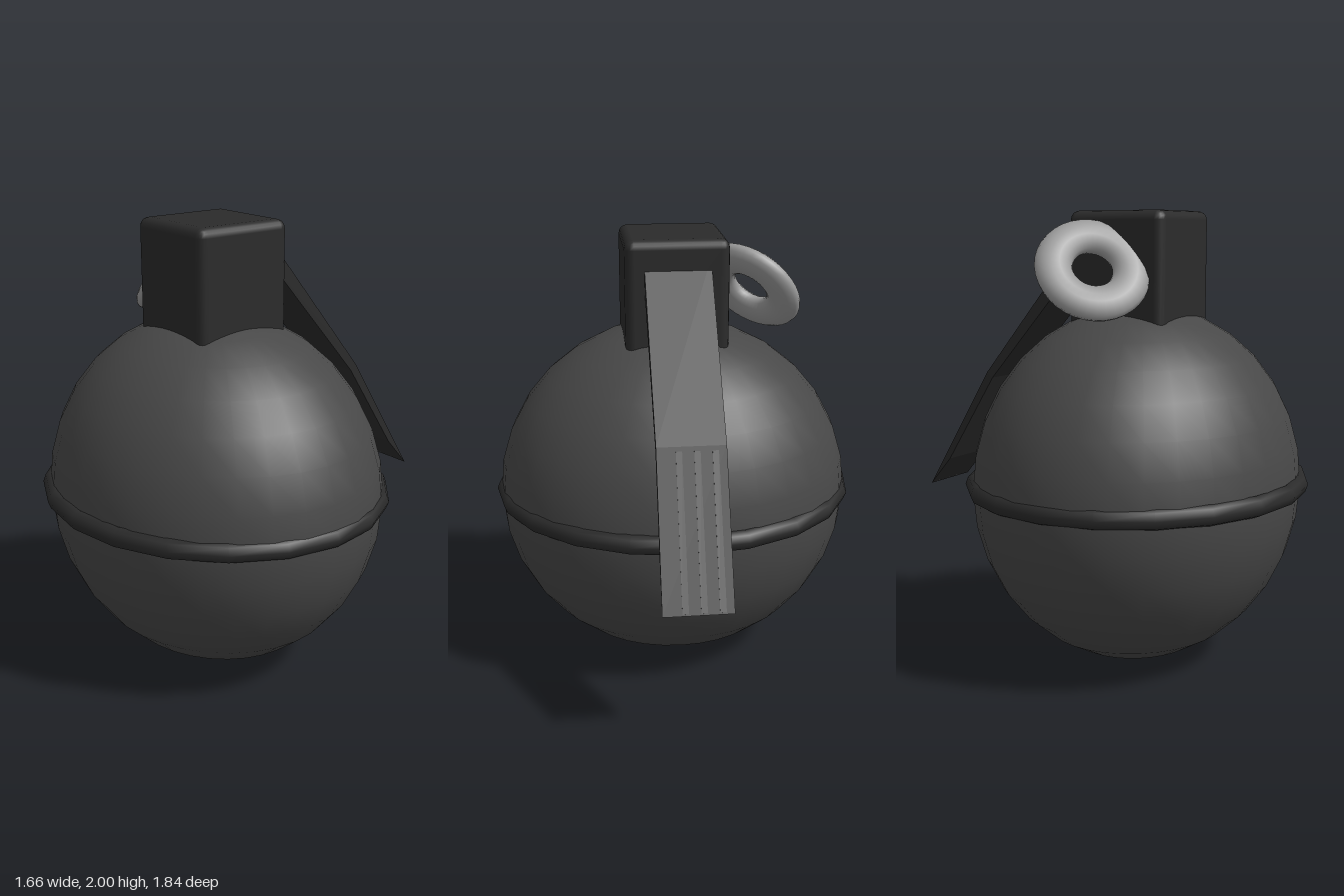
import * as THREE from 'three';
import { RoundedBoxGeometry } from 'three/addons/geometries/RoundedBoxGeometry.js';

const mat = (name, color, side = THREE.FrontSide) =>
  Object.assign(new THREE.MeshStandardMaterial({ color, side }), { name });

export function createModel() {
  const group = new THREE.Group();
  const shellGrey = mat('shell grey', 0x484848);
  const darkGrey = mat('dark grey', 0x2b2b2b);
  const steel = mat('steel', 0x9a9a9a);
  const centreZ = 0.17;

  const add = (name, geometry, material) => {
    const mesh = new THREE.Mesh(geometry, material);
    mesh.name = name;
    group.add(mesh);
    return mesh;
  };

  // Slightly flattened round shell
  const body = add('body', new THREE.SphereGeometry(1, 32, 16), shellGrey);
  body.scale.set(0.81, 0.797, 0.71);
  body.position.set(0, 0.8, centreZ);

  // Band round the middle
  const belt = add('belt', new THREE.TorusGeometry(0.785, 0.045, 8, 20).rotateX(Math.PI / 2), darkGrey);
  belt.scale.z = 0.905;
  belt.position.set(0, 0.81, centreZ);

  // Square cap sunk into the shell
  const cap = add('cap', new RoundedBoxGeometry(0.455, 0.58, 0.46, 2, 0.04), darkGrey);
  cap.position.set(0, 1.71, centreZ);

  // Flattened pull ring, tilted beside the cap
  const ring = add('pullRing', new THREE.TorusGeometry(0.165, 0.08, 14, 36).scale(1, 1, 0.62), steel);
  ring.quaternion.setFromUnitVectors(new THREE.Vector3(0, 0, 1), new THREE.Vector3(-1, 1, 1).normalize());
  ring.position.set(-0.35, 1.755, 0.14);

  // Bent lever: a side profile (distance back, height) extruded across x, with a slight sideways skew
  const strip = (points, x0, x1) => {
    const shape = new THREE.Shape(points.map(([b, y]) => new THREE.Vector2(b, y)));
    const geo = new THREE.ExtrudeGeometry(shape, { depth: x1 - x0, bevelEnabled: false });
    geo.rotateY(Math.PI / 2).translate(x0, 0, 0);
    const p = geo.attributes.position;
    for (let i = 0; i < p.count; i++) {
      p.setX(i, p.getX(i) + 0.03 * Math.max(0, -p.getZ(i) - 0.5));
    }
    geo.computeVertexNormals();
    return geo;
  };
  add('lever', strip([
    [0.02, 1.92], [0.02, 1.855], [0.53, 1.24], [0.8, 0.825], [0.92, 0.69], [0.56, 1.265],
  ].map(([b, y], i) => (i === 1 ? [b, 1.82] : [b, y])), -0.147, 0.143), darkGrey);

  // Paler streaks on the lower lever
  for (const x of [-0.1, -0.025, 0.05]) {
    add('leverStreak', strip([[0.57, 1.246], [0.915, 0.695], [0.918, 0.697], [0.573, 1.249]], x - 0.013, x + 0.013), shellGrey);
  }
  return group;
}
